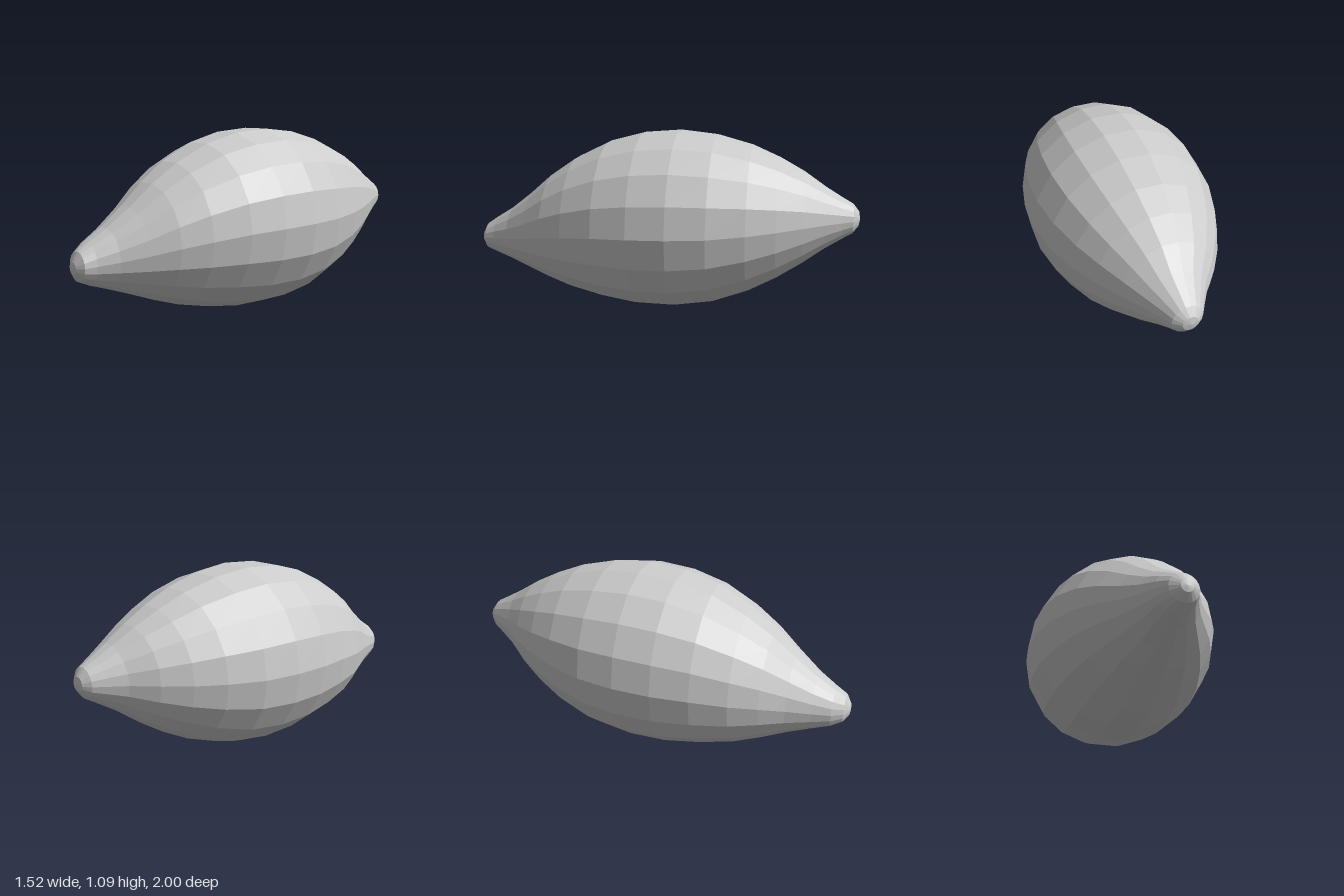
import * as THREE from 'three';

// Rings along the long axis: [distance t, sideways offset, centre height, radius]
const RINGS = [
  [-1.21, -0.015, 0.37, 0],
  [-1.205, -0.015, 0.37, 0.035],
  [-1.175, -0.02, 0.375, 0.085],
  [-1.11, -0.033, 0.383, 0.122],
  [-1.0, -0.03, 0.4, 0.175],
  [-0.86, -0.022, 0.43, 0.255],
  [-0.72, -0.022, 0.465, 0.343],
  [-0.56, -0.024, 0.495, 0.425],
  [-0.35, -0.02, 0.525, 0.5],
  [-0.13, -0.018, 0.54, 0.545],
  [0.1, -0.016, 0.55, 0.555],
  [0.33, -0.016, 0.557, 0.525],
  [0.55, -0.013, 0.57, 0.455],
  [0.72, -0.01, 0.58, 0.373],
  [0.87, -0.003, 0.59, 0.283],
  [1.0, 0.012, 0.597, 0.19],
  [1.1, 0.015, 0.6, 0.128],
  [1.165, 0.018, 0.602, 0.09],
  [1.2, 0.015, 0.602, 0.045],
  [1.208, 0.015, 0.602, 0],
];
const SIDES = 18;

// Faceted spindle lofted through the rings, lying diagonally on the ground
function loft() {
  const along = new THREE.Vector3(0.575, 0, -0.818);
  const across = new THREE.Vector3(0.818, 0, 0.575);
  const positions = [];
  const index = [];
  RINGS.forEach(([t, offset, height, radius], i) => {
    for (let j = 0; j < SIDES; j++) {
      const a = (j / SIDES) * Math.PI * 2;
      const p = new THREE.Vector3()
        .addScaledVector(along, t)
        .addScaledVector(across, offset + radius * Math.cos(a));
      positions.push(p.x, height + radius * Math.sin(a), p.z);
      if (i === RINGS.length - 1) continue;
      const k = (j + 1) % SIDES;
      const p0 = i * SIDES + j, p1 = i * SIDES + k;
      const q0 = p0 + SIDES, q1 = p1 + SIDES;
      if (i < RINGS.length - 2) index.push(p0, q0, q1);
      if (i > 0) index.push(p0, q1, p1);
    }
  });
  const geometry = new THREE.BufferGeometry();
  geometry.setAttribute('position', new THREE.Float32BufferAttribute(positions, 3));
  geometry.setIndex(index);
  // Separate the faces for flat facets
  const flat = geometry.toNonIndexed();
  flat.computeVertexNormals();
  return flat;
}

export function createModel() {
  const group = new THREE.Group();
  group.name = 'lemon';
  const grey = new THREE.MeshStandardMaterial({ color: 0xcccccc });
  grey.name = 'light grey';
  grey.flatShading = true;
  const fruit = new THREE.Mesh(loft(), grey);
  fruit.name = 'fruitBody';
  group.add(fruit);
  return group;
}
